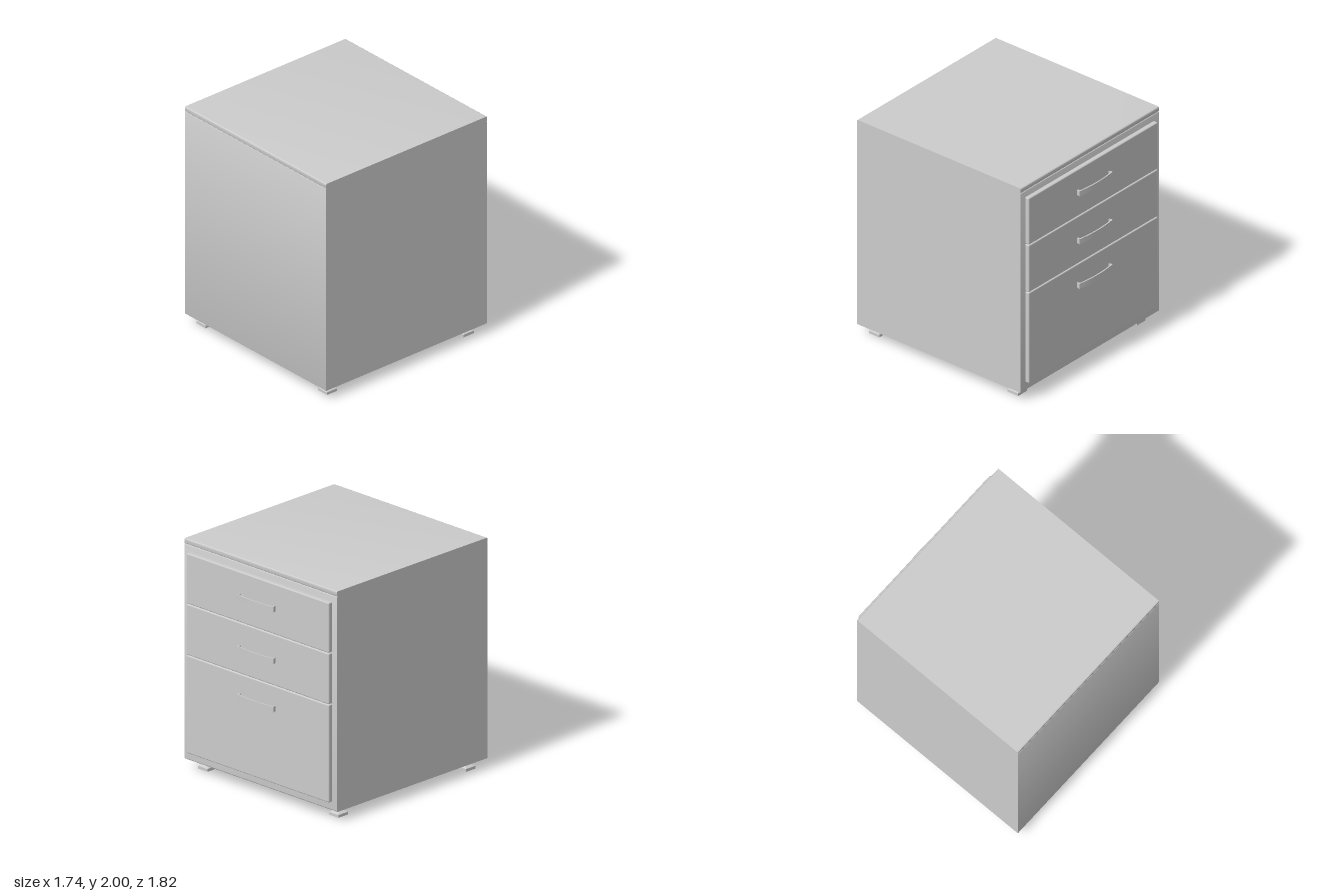
import * as THREE from 'three';
import { toCreasedNormals } from 'three/addons/utils/BufferGeometryUtils.js';
import { RoundedBoxGeometry } from 'three/addons/geometries/RoundedBoxGeometry.js';

const material = new THREE.MeshStandardMaterial({ color: 0xcccccc });
const HALF_WIDTH = 0.868;
const BACK = 0.908; // plain side
const FACE = -0.825; // drawer side

function addMesh(parent, name, geometry, x = 0, y = 0, z = 0) {
  const mesh = new THREE.Mesh(geometry, material);
  mesh.name = name;
  mesh.position.set(x, y, z);
  parent.add(mesh);
  return mesh;
}

// Panel whose z/y section has rounded corners, running the full width in x
function panel(y0, y1, backRadius, faceRadius) {
  const s = new THREE.Shape();
  const f = -FACE, b = -BACK, r = faceRadius, q = backRadius;
  s.moveTo(b + q, y0);
  s.lineTo(f - r, y0);
  s.quadraticCurveTo(f, y0, f, y0 + r);
  s.lineTo(f, y1 - r);
  s.quadraticCurveTo(f, y1, f - r, y1);
  s.lineTo(b + q, y1);
  s.quadraticCurveTo(b, y1, b, y1 - q);
  s.lineTo(b, y0 + q);
  s.quadraticCurveTo(b, y0, b + q, y0);
  const g = new THREE.ExtrudeGeometry(s, { depth: 2 * HALF_WIDTH, bevelEnabled: false, curveSegments: 5 });
  g.translate(0, 0, -HALF_WIDTH);
  g.rotateY(Math.PI / 2);
  return toCreasedNormals(g, 0.6);
}

// Thin bowed pull with two short legs, standing out towards -z
function handleGeometry() {
  const s = new THREE.Shape();
  s.moveTo(-0.202, -0.004);
  s.lineTo(-0.21, 0.03);
  s.quadraticCurveTo(0, 0.064, 0.21, 0.03);
  s.lineTo(0.202, -0.004);
  s.lineTo(0.19, -0.004);
  s.lineTo(0.196, 0.021);
  s.quadraticCurveTo(0, 0.052, -0.196, 0.021);
  s.lineTo(-0.19, -0.004);
  s.closePath();
  const g = new THREE.ExtrudeGeometry(s, { depth: 0.048, bevelEnabled: false, curveSegments: 16 });
  g.translate(0, 0, -0.024);
  g.rotateX(-Math.PI / 2);
  return toCreasedNormals(g, 0.5);
}

// Square pad, hollow underneath, with sloped top
function padGeometry() {
  const profile = [[0, 0.02], [0.034, 0.02], [0.044, 0], [0.055, 0], [0.055, 0.024], [0.022, 0.042], [0, 0.042]]
    .map(([r, y]) => new THREE.Vector2(r * Math.SQRT2, y));
  return toCreasedNormals(new THREE.LatheGeometry(profile, 4, Math.PI / 4), 0.3);
}

export function createModel() {
  const model = new THREE.Group();
  model.name = 'drawerCabinet';

  // Carcass and worktop
  addMesh(model, 'carcass', panel(0.09, 1.954, 0.001, 0.012));
  addMesh(model, 'top', panel(1.954, 2, 0.012, 0.012));

  // Drawers: bottom, top, handle height
  const handle = handleGeometry();
  const drawers = [[0.165, 1.011, 0.82], [1.016, 1.455, 1.237], [1.46, 1.895, 1.685]];
  const outer = -0.862, inner = -0.78;
  drawers.forEach(([y0, y1, handleY], i) => {
    const drawer = new THREE.Group();
    drawer.name = `drawer${i + 1}`;
    addMesh(drawer, 'drawerFront', new RoundedBoxGeometry(1.62, y1 - y0, inner - outer, 3, 0.01),
      0, (y0 + y1) / 2, (inner + outer) / 2);
    addMesh(drawer, 'handle', handle, 0, handleY, outer);
    model.add(drawer);
  });

  // Feet
  const pad = padGeometry();
  const stem = new THREE.CylinderGeometry(0.02, 0.02, 0.055, 16);
  for (const x of [-0.745, 0.745]) {
    for (const z of [-0.685, 0.785]) {
      const foot = new THREE.Group();
      foot.name = 'foot';
      foot.position.set(x, 0, z);
      addMesh(foot, 'footPad', pad);
      addMesh(foot, 'footStem', stem, 0, 0.066, 0);
      model.add(foot);
    }
  }
  return model;
}
